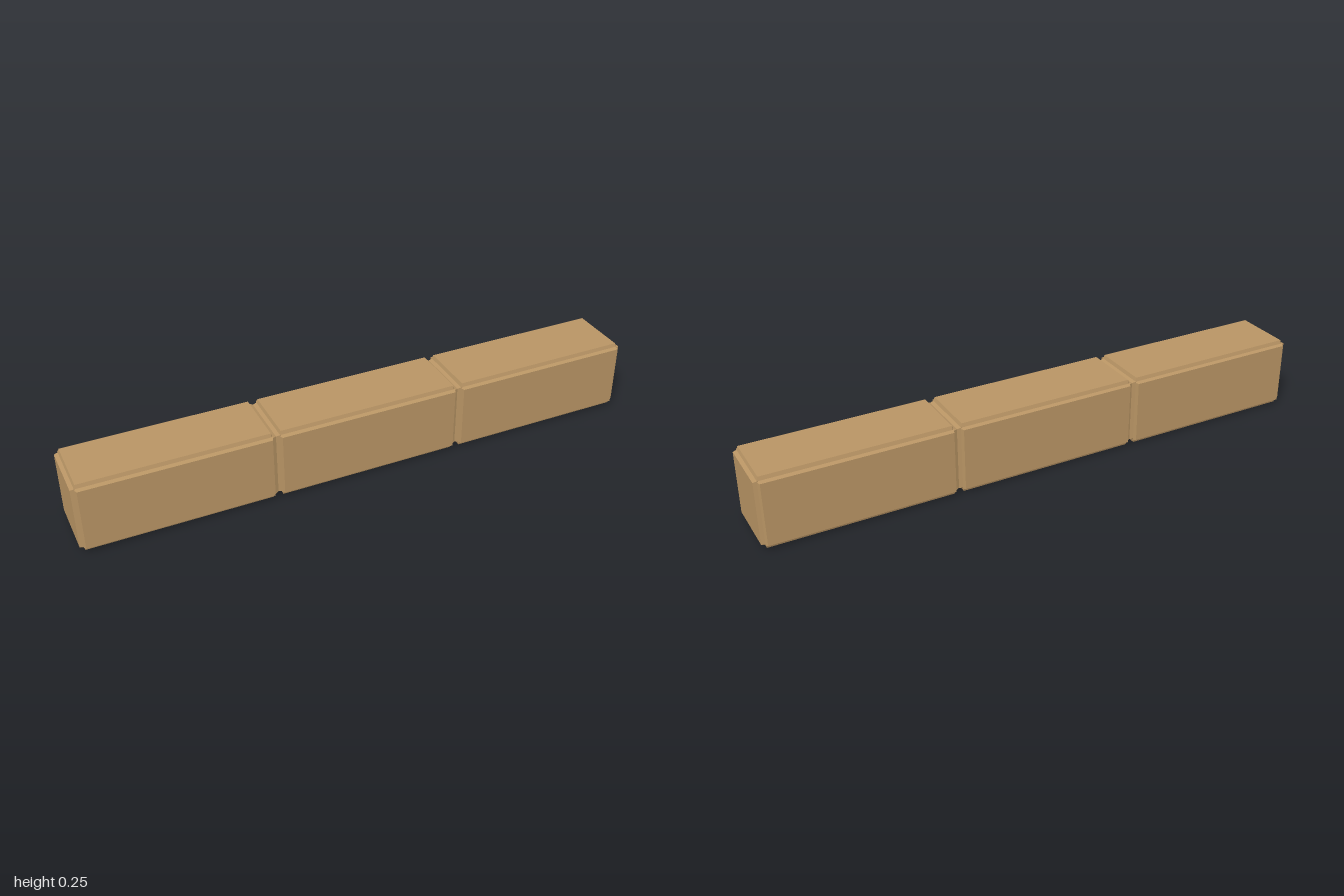
import * as THREE from 'three';

const LENGTH = 2 / 3, HEIGHT = 0.255, DEPTH = 0.24;
const INSET = 0.017; // from a block's edge to its flat faces
const NOTCH = 0.0125; // depth of the groove that runs along every edge

// Hollow block with coved edges, open underneath
function blockGeometry() {
  const half = [LENGTH / 2, HEIGHT / 2, DEPTH / 2];
  const geo = new THREE.BoxGeometry(1, 1, 1, 3, 3, 3);
  const pos = geo.attributes.position;
  for (let i = 0; i < pos.count; i++) {
    const p = [pos.getX(i), pos.getY(i), pos.getZ(i)];
    const outer = p.map((v) => Math.abs(v) > 0.4);
    const onEdge = outer.filter(Boolean).length > 1;
    const q = p.map((v, a) => {
      const inset = !outer[a] ? INSET : onEdge ? NOTCH : 0;
      return Math.sign(v) * (half[a] - inset);
    });
    pos.setXYZ(i, ...q);
  }

  // Leave out the flat bottom panel
  const index = geo.index.array, kept = [];
  for (let i = 0; i < index.length; i += 3) {
    const tri = [index[i], index[i + 1], index[i + 2]];
    if (!tri.every((v) => pos.getY(v) < -HEIGHT / 2 + 0.001)) kept.push(...tri);
  }
  geo.setIndex(kept);
  geo.clearGroups();

  // Separate the facets for crisp edges
  const flat = geo.toNonIndexed();
  flat.computeVertexNormals();
  return flat;
}

export function createModel() {
  const group = new THREE.Group();
  group.name = 'blockBeam';
  const tan = new THREE.MeshStandardMaterial({ color: 0xb89464, side: THREE.DoubleSide });
  tan.name = 'tan';

  // Three blocks end to end
  const geometry = blockGeometry();
  ['rightBlock', 'middleBlock', 'leftBlock'].forEach((name, i) => {
    const block = new THREE.Mesh(geometry, tan);
    block.name = name;
    block.position.set((i - 1) * LENGTH, HEIGHT / 2, 0);
    group.add(block);
  });
  return group;
}
